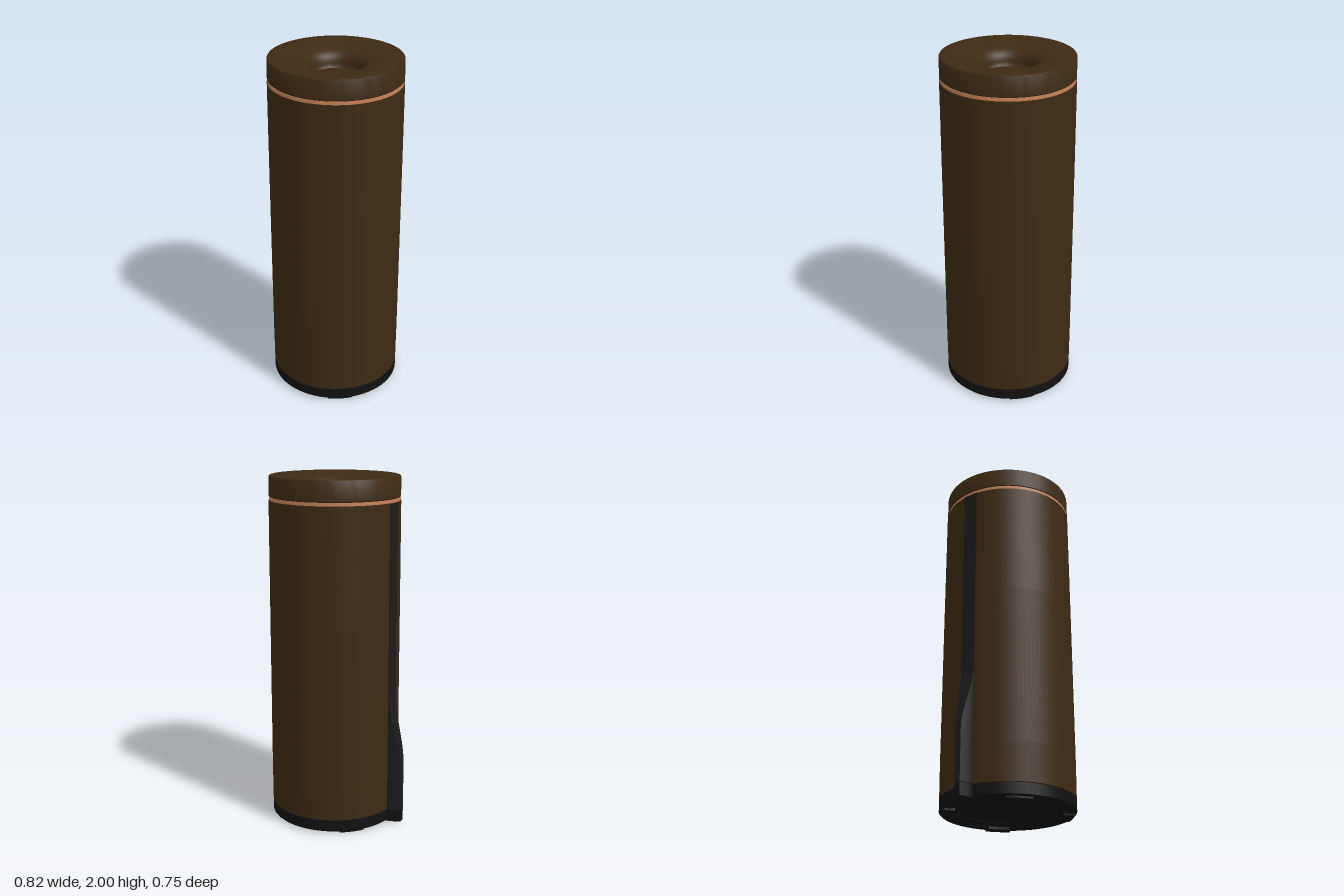
import * as THREE from 'three';
import { toCreasedNormals } from 'three/addons/utils/BufferGeometryUtils.js';

const mat = (color) => new THREE.MeshStandardMaterial({ color });
const CX = 0.034; // axis of the round body

export function createModel() {
  const model = new THREE.Group();
  const bronze = mat(0x3d2a13), copper = mat(0xc98458), black = mat(0x111111), charcoal = mat(0x1c1c1c);

  const add = (name, geometry, material) => {
    const mesh = new THREE.Mesh(toCreasedNormals(geometry, 0.6), material);
    mesh.name = name;
    model.add(mesh);
    return mesh;
  };
  // Revolved part, profile given as [radius, height] from the bottom centre round to the top centre
  const turned = (name, profile, material) => {
    const points = profile.map(([r, y]) => new THREE.Vector2(r, y));
    add(name, new THREE.LatheGeometry(points, 96), material).position.x = CX;
  };

  // Base with stepped underside
  turned('base', [
    [0, 0.035], [0.265, 0.035], [0.27, 0.022], [0.31, 0.022], [0.316, 0.01],
    [0.366, 0.01], [0.374, 0.018], [0.374, 0.078], [0.36, 0.078], [0.36, 0.084], [0, 0.084],
  ], black);

  // Slightly tapered main body
  turned('body', [
    [0, 0.083], [0.374, 0.083], [0.375, 0.3], [0.373, 1.2], [0.371, 1.862], [0.364, 1.864], [0, 1.864],
  ], bronze);

  // Metal trim ring below the lid
  turned('trimRing', [[0.3, 1.862], [0.368, 1.864], [0.368, 1.882], [0.3, 1.884]], copper);

  // Lid with a funnel-shaped opening: curved shoulder, throat and floor
  const lid = [[0, 1.882], [0.364, 1.882], [0.37, 1.887], [0.369, 1.992], [0.366, 1.998], [0.36, 2], [0.31, 1.998]];
  const funnel = new THREE.CubicBezierCurve(
    new THREE.Vector2(0.31, 1.998), new THREE.Vector2(0.2, 1.985),
    new THREE.Vector2(0.145, 1.975), new THREE.Vector2(0.138, 1.9));
  funnel.getPoints(16).slice(1).forEach((p) => lid.push([p.x, p.y]));
  lid.push([0.134, 1.893], [0.13, 1.889], [0, 1.889]);
  turned('lid', lid, bronze);

  // Four arc-shaped pads under the base
  for (let i = 0; i < 4; i++) {
    const mid = Math.PI / 4 + (i * Math.PI) / 2, half = 0.2;
    const arc = new THREE.Shape();
    arc.absarc(0, 0, 0.36, mid - half, mid + half, false);
    arc.absarc(0, 0, 0.3, mid + half, mid - half, true);
    const pad = new THREE.ExtrudeGeometry(arc, { depth: 0.016, bevelEnabled: false, curveSegments: 12 });
    pad.rotateX(-Math.PI / 2);
    add('footPad', pad, black).position.x = CX;
  }

  // Spine on the side: depth falls from a deep fin to a nearly flush strip
  const root = -0.328;
  const depthAt = (y) => {
    const s = THREE.MathUtils.smoothstep(y, 0.36, 0.76);
    return THREE.MathUtils.lerp(0.085, 0.0148, s) - 0.0025 * THREE.MathUtils.smoothstep(y, 0.76, 1.86);
  };
  const halfWidth = (d) => 0.043 - 0.026 * Math.pow(Math.max(0, d - 0.012) / 0.073, 1.3);
  const spine = (heights) => {
    const n = 6, ring = 2 * (n + 1), pos = [], index = [];
    heights.forEach((y) => {
      const depth = depthAt(y);
      for (let k = 0; k < ring; k++) {
        const front = k <= n;
        const d = depth * (front ? k : ring - 1 - k) / n;
        pos.push(root - d, y, (front ? 1 : -1) * halfWidth(d));
      }
    });
    for (let j = 0; j < heights.length - 1; j++) {
      for (let k = 0; k < ring; k++) {
        const a = j * ring + k, b = j * ring + (k + 1) % ring;
        index.push(a, a + ring, b, b, a + ring, b + ring);
      }
    }
    const last = (heights.length - 1) * ring;
    for (let k = 0; k < n; k++) { // end caps
      const a = k, b = k + 1, c = ring - 2 - k, e = ring - 1 - k;
      index.push(a, b, c, a, c, e);
      index.push(last + a, last + c, last + b, last + a, last + e, last + c);
    }
    const g = new THREE.BufferGeometry();
    g.setAttribute('position', new THREE.Float32BufferAttribute(pos, 3));
    g.setIndex(index);
    return g;
  };
  const both = (m) => { const c = m.clone(); c.side = THREE.DoubleSide; return c; };
  const steps = Array.from({ length: 21 }, (_, i) => 0.36 + i * 0.02);
  add('spineFoot', spine([0.01, 0.079]), both(black));
  add('spine', spine([0.083, ...steps, 1.2, 1.861]), both(charcoal));

  return model;
}
